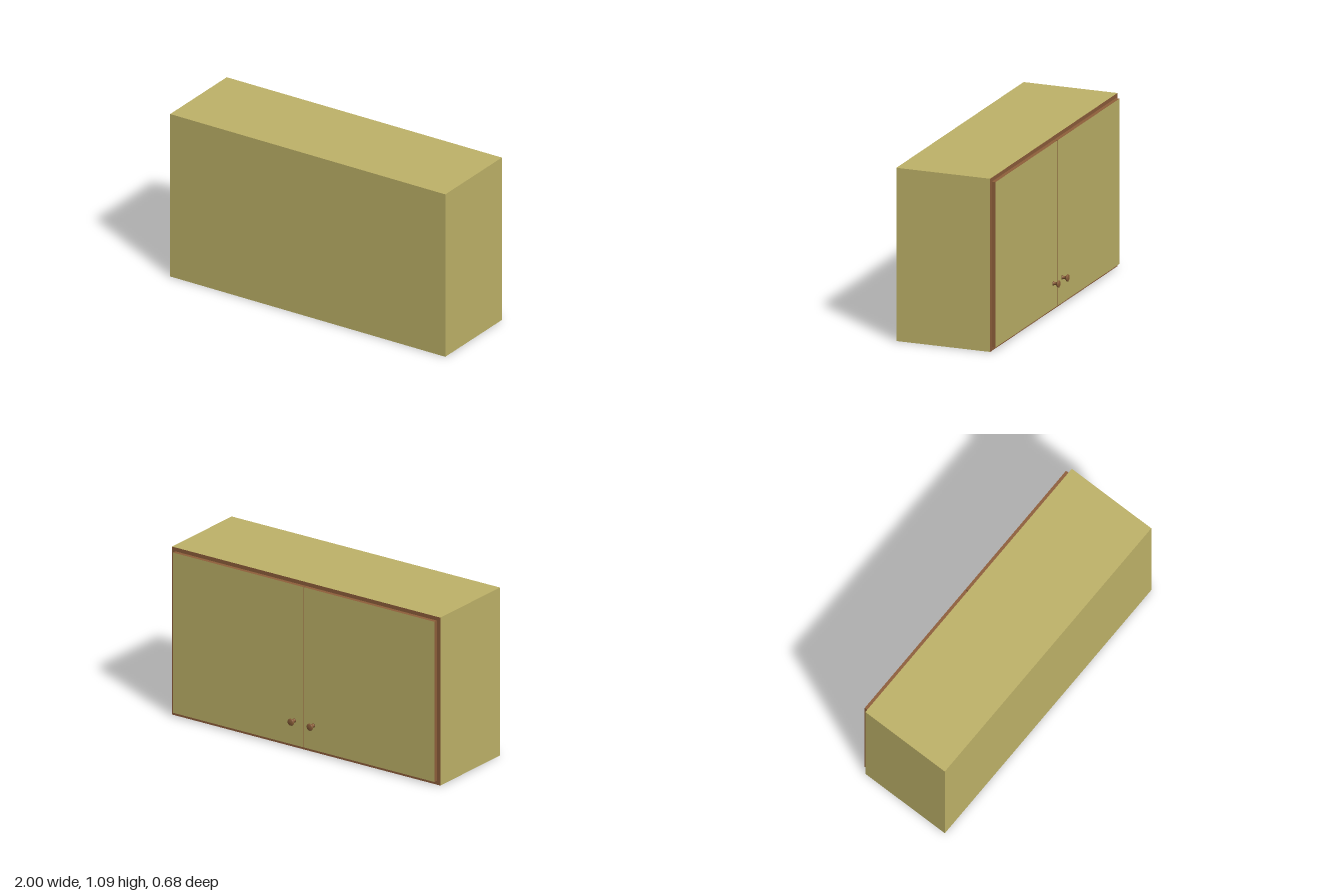
import * as THREE from 'three';

const W = 2, H = 1.09, BACK = 0.341, FACE = -0.273; // carcass size and z limits
const WALL = 0.05, DOOR_T = 0.025, MARGIN = 0.025, GAP = 0.003;

export function createModel() {
  const laminate = new THREE.MeshStandardMaterial({ color: 0xbfb369 });
  laminate.name = 'laminate';
  const edging = new THREE.MeshStandardMaterial({ color: 0x8f5f3b });
  edging.name = 'edging';
  const knobWood = new THREE.MeshStandardMaterial({ color: 0x8a5e39 });
  knobWood.name = 'knobWood';

  const model = new THREE.Group();
  model.name = 'wallCabinet';
  const add = (parent, name, geometry, material) => {
    const mesh = new THREE.Mesh(geometry, material);
    mesh.name = name;
    parent.add(mesh);
    return mesh;
  };

  // Box without its -z side, optionally turned inside out
  const openBox = (w, h, d, inward) => {
    const g = new THREE.BoxGeometry(w, h, d);
    const index = Array.from(g.index.array).slice(0, 30);
    g.clearGroups();
    g.setIndex(inward ? index.reverse() : index);
    if (inward) g.attributes.normal.array.forEach((v, i, a) => { a[i] = -v; });
    return g;
  };

  // Carcass: outer shell and hollow interior
  const depth = BACK - FACE;
  add(model, 'carcass', openBox(W, H, depth, false), laminate)
    .position.set(0, H / 2, (BACK + FACE) / 2);
  add(model, 'interior', openBox(W - 2 * WALL, H - 2 * WALL, depth - WALL, true), laminate)
    .position.set(0, H / 2, (BACK - WALL + FACE) / 2);

  // Edge banding around the opening
  const rectangle = (w, h, Kind) => new Kind().setFromPoints([
    new THREE.Vector2(-w / 2, -h / 2), new THREE.Vector2(w / 2, -h / 2),
    new THREE.Vector2(w / 2, h / 2), new THREE.Vector2(-w / 2, h / 2),
  ]);
  const rimShape = rectangle(W, H, THREE.Shape);
  rimShape.holes.push(rectangle(W - 2 * WALL, H - 2 * WALL, THREE.Path));
  const rim = add(model, 'openingRim', new THREE.ShapeGeometry(rimShape), edging);
  rim.rotation.y = Math.PI;
  rim.position.set(0, H / 2, FACE);

  // Turned knob profile: radius, distance from the door
  const profile = [
    [0, 0], [0.013, 0], [0.012, 0.004], [0.009, 0.009], [0.009, 0.018], [0.012, 0.024],
    [0.02, 0.031], [0.0225, 0.035], [0.022, 0.039], [0.016, 0.042], [0, 0.043],
  ].map(([r, y]) => new THREE.Vector2(r, y));
  const knobGeometry = new THREE.LatheGeometry(profile, 24);
  knobGeometry.rotateX(-Math.PI / 2);

  // Pair of doors, laminate faces with banded edges
  const doorW = W / 2 - MARGIN - GAP, doorH = H - 2 * MARGIN;
  const doorMaterials = [edging, edging, edging, edging, laminate, laminate];
  for (const [side, s] of [['left', 1], ['right', -1]]) {
    const door = new THREE.Group();
    door.name = side + 'Door';
    add(door, side + 'DoorPanel', new THREE.BoxGeometry(doorW, doorH, DOOR_T), doorMaterials)
      .position.set(s * (GAP + doorW / 2), H / 2, FACE - DOOR_T / 2);
    add(door, side + 'Knob', knobGeometry, knobWood)
      .position.set(s * 0.071, 0.184, FACE - DOOR_T);
    model.add(door);
  }
  return model;
}
